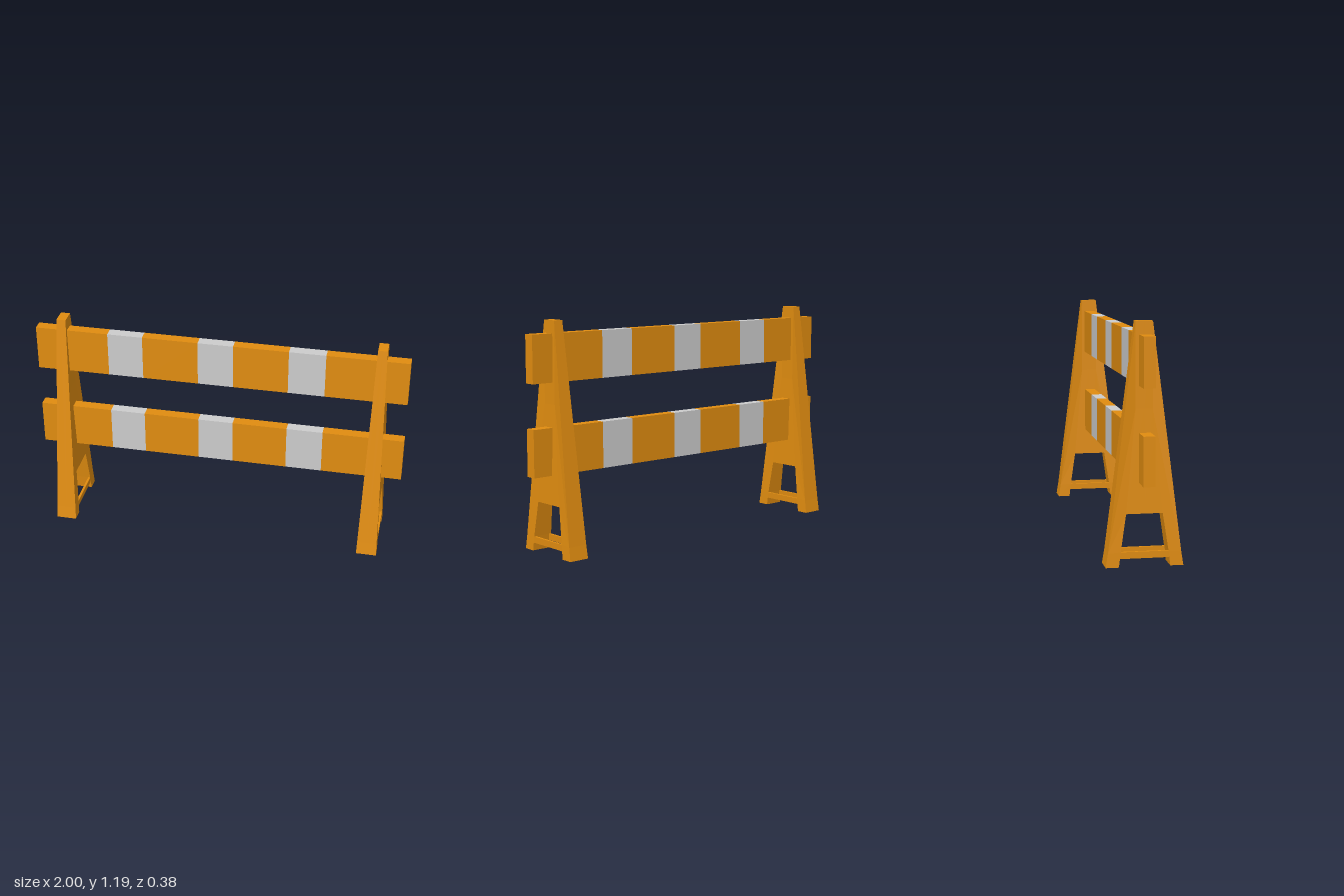
import * as THREE from 'three';

const orange = new THREE.MeshStandardMaterial({ color: 0xe08c10, flatShading: true });
const grey = new THREE.MeshStandardMaterial({ color: 0xcccccc, flatShading: true });

// One quarter of the trestle as points [half width, y, z], mirrored in x and z
function trestleGeometry() {
  const T0 = [0.025, 1.19, 0], T = [0.025, 1.19, 0.042];
  const K0 = [0.028, 0.77, 0], K = [0.028, 0.77, 0.042];
  const H0 = [0.044, 0.26, 0], H = [0.044, 0.26, 0.09];
  const W = [0.053, 0.075, 0.118], B = [0.053, 0.07, 0.181];
  const F = [0.055, 0, 0.192], Fi = [0.055, 0, 0.127];

  // Side: central web, recessed flanks and foot
  const faces = [
    [T0, T, K, K0], [K0, K, H, H0], [K, B, H],
    [H, B, W], [W, B, F, Fi], [T, B, K],
  ];
  // Rim across the thickness: top, sloping edge, sole and opening
  const rim = [T0, T, B, F, Fi, W, H, H0];
  const mid = (p) => [0, p[1], p[2]];
  for (let i = 0; i < rim.length - 1; i++) {
    const a = rim[i], b = rim[i + 1];
    faces.push([a, mid(a), mid(b), b]);
  }

  const positions = [];
  for (const sx of [1, -1]) for (const sz of [1, -1]) {
    for (const face of faces) {
      const f = face.map(([x, y, z]) => [x * sx, y, z * sz]);
      if (sx * sz < 0) f.reverse();
      for (let i = 1; i < f.length - 1; i++) positions.push(...f[0], ...f[i], ...f[i + 1]);
    }
  }
  const g = new THREE.BufferGeometry();
  g.setAttribute('position', new THREE.Float32BufferAttribute(positions, 3));
  g.computeVertexNormals();
  return g;
}

function box(name, w, h, d, x, y, z, material) {
  const m = new THREE.Mesh(new THREE.BoxGeometry(w, h, d), material);
  m.name = name;
  m.position.set(x, y, z);
  return m;
}

export function createModel() {
  const model = new THREE.Group();
  model.name = 'barricade';

  // A-frame legs, each with a pair of thin foot bars
  const legGeometry = trestleGeometry();
  for (const side of [1, -1]) {
    const leg = new THREE.Group();
    leg.name = side > 0 ? 'leftTrestle' : 'rightTrestle';
    const frame = new THREE.Mesh(legGeometry, orange);
    frame.name = 'trestleFrame';
    leg.add(frame);
    for (const s of [1, -1]) leg.add(box('footBar', 0.012, 0.033, 0.242, s * 0.047, 0.058, 0, orange));
    leg.position.x = side * 0.853;
    model.add(leg);
  }

  // Striped boards: orange and grey sections alternate
  const cuts = [-1, -0.605, -0.415, -0.115, 0.075, 0.37, 0.565, 1];
  for (const [name, low, high] of [['upperBoard', 0.88, 1.125], ['lowerBoard', 0.41, 0.653]]) {
    const board = new THREE.Group();
    board.name = name;
    for (let i = 0; i < cuts.length - 1; i++) {
      const a = cuts[i], b = cuts[i + 1], pale = i % 2 === 1;
      board.add(box(pale ? 'paleStripe' : 'orangeStripe', b - a, high - low, 0.058,
        (a + b) / 2, (low + high) / 2, 0.003, pale ? grey : orange));
    }
    model.add(board);
  }
  return model;
}
